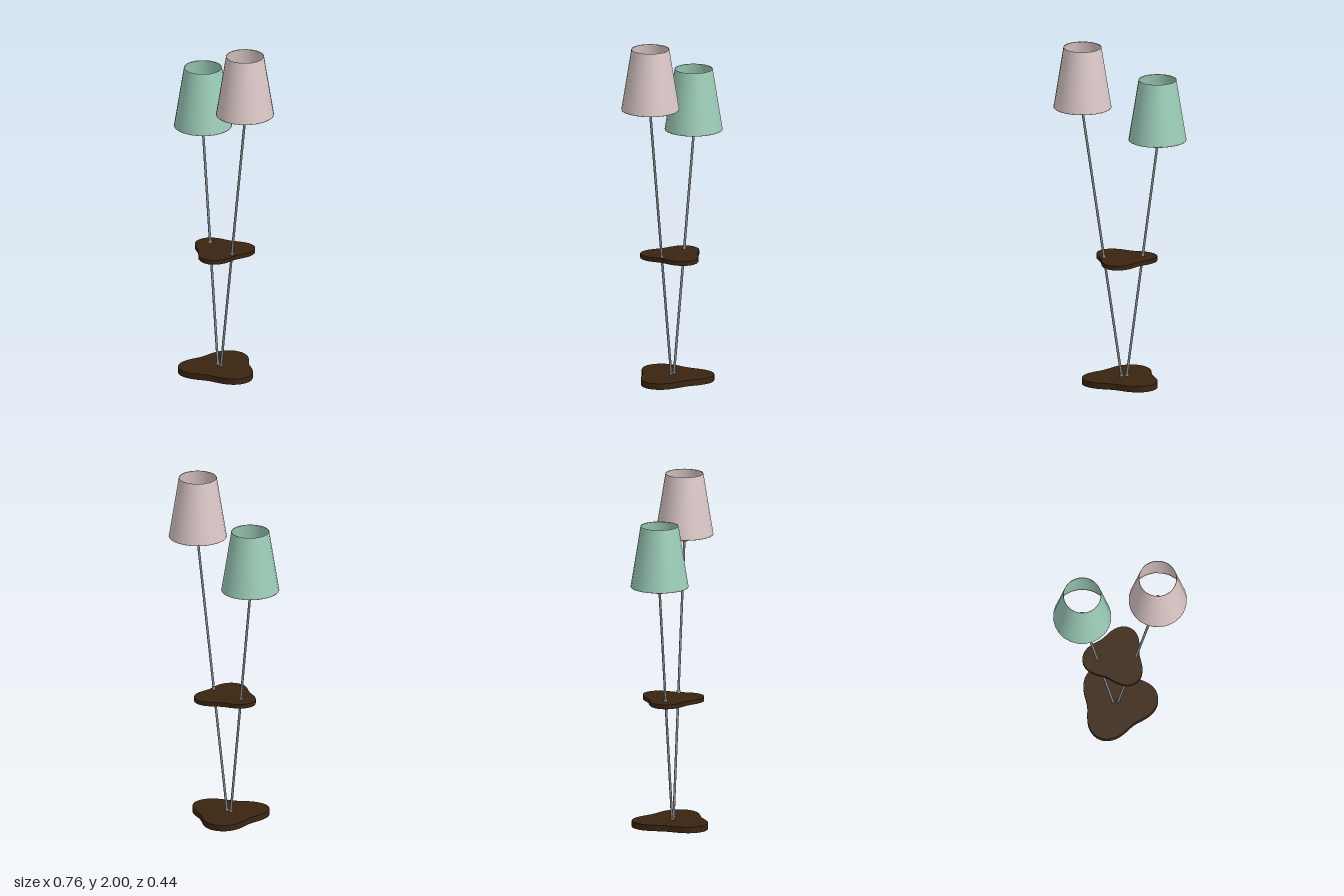
import * as THREE from 'three';

const mat = (name, color, side = THREE.FrontSide) => {
  const m = new THREE.MeshStandardMaterial({ color, side });
  m.name = name;
  return m;
};

export function createModel() {
  const wood = mat('dark wood', 0x3a2411);
  const steel = mat('steel', 0x85888d);
  const brass = mat('aged brass', 0x80694a);
  const trim = mat('cream trim', 0xcdb58c);
  const green = mat('mint fabric', 0x9ccdb9, THREE.DoubleSide);
  const pink = mat('blush fabric', 0xdcc8c8, THREE.DoubleSide);

  const lamp = new THREE.Group();
  lamp.name = 'twinFloorLamp';
  const add = (name, geometry, material, x = 0, y = 0, z = 0, parent = lamp) => {
    const mesh = new THREE.Mesh(geometry, material);
    mesh.name = name;
    mesh.position.set(x, y, z);
    parent.add(mesh);
    return mesh;
  };

  // Three-lobed slab; dir = 1 points a lobe to +x, -1 to -x
  const slab = (name, radius, swell, dir, thickness, x, y, z) => {
    const points = [];
    for (let i = 0; i < 72; i++) {
      const a = (i / 72) * Math.PI * 2;
      const r = radius + dir * swell * Math.cos(3 * a);
      points.push(new THREE.Vector2(r * Math.cos(a), r * Math.sin(a)));
    }
    const geometry = new THREE.ExtrudeGeometry(new THREE.Shape(points), { depth: thickness, bevelEnabled: false });
    geometry.rotateX(-Math.PI / 2);
    add(name, geometry, wood, x, y, z);
  };
  slab('base', 0.203, 0.036, 1, 0.035, -0.023, 0, 0);
  slab('tray', 0.163, 0.029, -1, 0.025, -0.023, 0.72, -0.012);

  // Cylinder between two points
  const rod = (name, a, b, radius, parent) => {
    const d = b.clone().sub(a);
    const mesh = add(name, new THREE.CylinderGeometry(radius, radius, d.length(), 12), steel, 0, 0, 0, parent);
    mesh.position.copy(a).addScaledVector(d, 0.5);
    mesh.quaternion.setFromUnitVectors(new THREE.Vector3(0, 1, 0), d.normalize());
  };

  // One leaning pole with collars, socket and open tapered shade
  const arm = (name, foot, top, shadeMaterial) => {
    const group = new THREE.Group();
    group.name = name;
    lamp.add(group);
    rod('pole', foot, top, 0.007, group);
    const at = (y) => foot.clone().lerp(top, (y - foot.y) / (top.y - foot.y));
    rod('baseCollar', at(0.03), at(0.05), 0.011, group);
    rod('trayCollar', at(0.74), at(0.762), 0.011, group);
    add('socket', new THREE.CylinderGeometry(0.018, 0.018, 0.07, 20), brass, top.x, top.y + 0.02, top.z, group);

    const low = top.y + 0.025, height = 0.355;
    add('shade', new THREE.CylinderGeometry(0.108, 0.165, height, 24, 1, true), shadeMaterial,
      top.x, low + height / 2, top.z, group);
    for (const [rim, r, y] of [['lowerRim', 0.164, low + 0.001], ['upperRim', 0.107, low + height - 0.002]]) {
      add(rim, new THREE.TorusGeometry(r, 0.0018, 6, 24).rotateX(Math.PI / 2), trim, top.x, y, top.z, group);
    }
  };
  arm('rightArm', new THREE.Vector3(-0.04, 0.02, 0), new THREE.Vector3(-0.215, 1.41, -0.025), green);
  arm('leftArm', new THREE.Vector3(-0.014, 0.02, 0), new THREE.Vector3(0.214, 1.62, 0), pink);

  return lamp;
}
